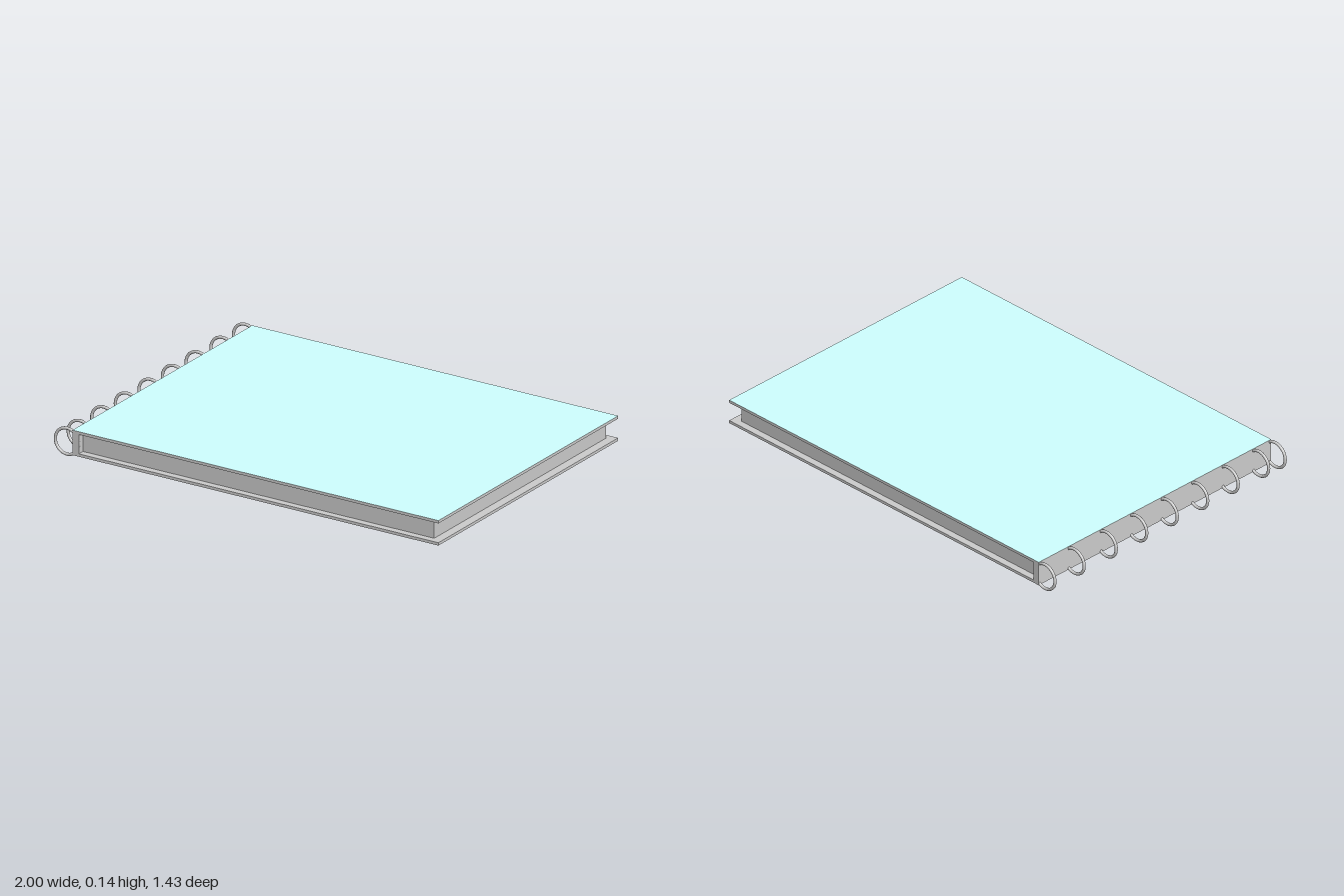
import * as THREE from 'three';

const grey = new THREE.MeshStandardMaterial({ color: 0xcccccc });
const teal = new THREE.MeshStandardMaterial({ color: 0xcfffff });

export function createModel() {
  const book = new THREE.Group();
  book.name = 'ringBoundBook';

  // Box given by its lower and upper limits on each axis
  const addBox = (name, [x0, x1], [y0, y1], [z0, z1], material = grey) => {
    const mesh = new THREE.Mesh(new THREE.BoxGeometry(x1 - x0, y1 - y0, z1 - z0), material);
    mesh.position.set((x0 + x1) / 2, (y0 + y1) / 2, (z0 + z1) / 2);
    mesh.name = name;
    book.add(mesh);
  };

  // Covers: coloured outer faces, grey edges and insides
  const coverX = [-0.9, 1], coverZ = [-0.717, 0.717];
  addBox('topCover', coverX, [0.1175, 0.131], coverZ, [grey, grey, teal, grey, grey, grey]);
  addBox('bottomCover', coverX, [0.0135, 0.027], coverZ, [grey, grey, grey, teal, grey, grey]);

  // Spine strip and the inset block of pages
  addBox('spine', [-0.9, -0.867], [0.027, 0.1175], coverZ);
  addBox('pages', [-0.867, 0.957], [0.027, 0.1175], [-0.684, 0.684]);

  // Binding rings passing through the spine
  const ringGeometry = new THREE.TorusGeometry(0.061, 0.007, 12, 48);
  for (const z of [-0.71, -0.53, -0.332, -0.144, 0.044, 0.232, 0.42, 0.608, 0.71]) {
    const ring = new THREE.Mesh(ringGeometry, grey);
    ring.position.set(-0.932, 0.07, z);
    ring.name = 'bindingRing';
    book.add(ring);
  }

  return book;
}
